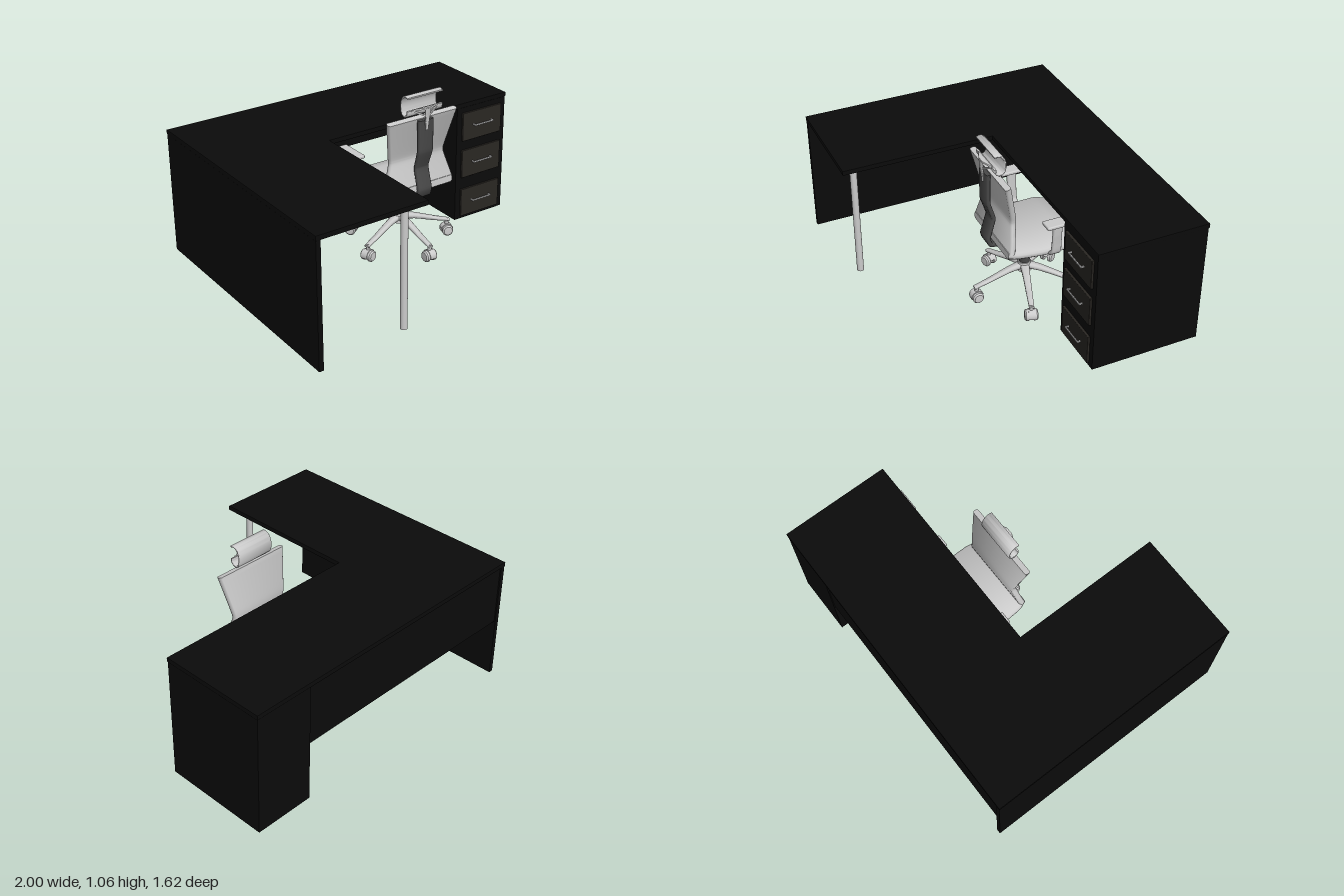
import * as THREE from 'three';
import { toCreasedNormals } from 'three/addons/utils/BufferGeometryUtils.js';
import { RoundedBoxGeometry } from 'three/addons/geometries/RoundedBoxGeometry.js';

const mat = (color) => new THREE.MeshStandardMaterial({ color });
const grey = mat(0xcccccc), black = mat(0x0b0b0b), drawerDark = mat(0x2a2723), darkGrey = mat(0x484848);

function add(parent, name, geometry, material, x = 0, y = 0, z = 0) {
  const mesh = new THREE.Mesh(geometry, material);
  mesh.name = name;
  mesh.position.set(x, y, z);
  parent.add(mesh);
  return mesh;
}

function group(parent, name, x = 0, y = 0, z = 0) {
  const g = new THREE.Group();
  g.name = name;
  g.position.set(x, y, z);
  parent.add(g);
  return g;
}

// Box from its min and max corners
function block(parent, name, material, [x0, y0, z0], [x1, y1, z1], r = 0) {
  const size = [x1 - x0, y1 - y0, z1 - z0];
  const geo = r ? new RoundedBoxGeometry(...size, 2, r) : new THREE.BoxGeometry(...size);
  return add(parent, name, geo, material, (x0 + x1) / 2, (y0 + y1) / 2, (z0 + z1) / 2);
}

// Chamfered slab swept along points [z, y, halfWidth], thickness t0 to t1
function slab(points, t0, t1 = t0, steps = 24, tension = 0.3) {
  const curve = new THREE.CatmullRomCurve3(points.map((p) => new THREE.Vector3(p[2], p[1], p[0])), false, 'catmullrom', tension);
  const pos = [], index = [], n = 8;
  for (let i = 0; i <= steps; i++) {
    const p = curve.getPoint(i / steps), d = curve.getTangent(i / steps);
    const len = Math.hypot(d.y, d.z), ny = d.z / len, nz = -d.y / len;
    const w = p.x, h = THREE.MathUtils.lerp(t0, t1, i / steps) / 2, c = Math.min(w, h) * 0.5;
    const ring = [[w, -h + c], [w, h - c], [w - c, h], [-w + c, h], [-w, h - c], [-w, -h + c], [-w + c, -h], [w - c, -h]];
    for (const [a, b] of ring) pos.push(a, p.y + b * ny, p.z + b * nz);
  }
  for (let i = 0; i < steps; i++) for (let j = 0; j < n; j++) {
    const a = i * n + j, b = i * n + (j + 1) % n;
    index.push(a, b, b + n, a, b + n, a + n);
  }
  for (let j = 1; j < n - 1; j++) {
    const e = steps * n;
    index.push(0, j + 1, j, e, e + j, e + j + 1);
  }
  const geo = new THREE.BufferGeometry();
  geo.setAttribute('position', new THREE.Float32BufferAttribute(pos, 3));
  geo.setIndex(index);
  return toCreasedNormals(geo, 0.9);
}

function buildDesk(root) {
  const desk = group(root, 'desk');

  // L-shaped top
  const outline = new THREE.Shape([[-1, -0.81], [1, -0.81], [1, -0.13], [-0.31, -0.13], [-0.31, 0.81], [-1, 0.81]]
    .map(([x, z]) => new THREE.Vector2(x, z)));
  const topGeo = new THREE.ExtrudeGeometry(outline, {
    depth: 0.022, bevelThickness: 0.004, bevelSize: 0.004, bevelOffset: -0.004, bevelSegments: 2,
  });
  add(desk, 'desktop', topGeo, black, 0, 0.786, 0).rotation.x = Math.PI / 2;

  // Supports
  block(desk, 'sidePanel', black, [-0.998, 0, -0.808], [-0.97, 0.76, 0.808]);
  block(desk, 'modestyPanel', black, [-0.97, 0.38, -0.8], [0.62, 0.76, -0.775]);
  block(desk, 'drawerCabinet', black, [0.62, 0, -0.806], [0.996, 0.76, -0.132]);
  add(desk, 'post', new THREE.CylinderGeometry(0.021, 0.021, 0.755, 24), grey, -0.4, 0.3805, 0.72);

  // Drawers with bar handles
  for (const y of [0.115, 0.383, 0.633]) {
    const drawer = group(desk, 'drawer', 0.808, y, -0.132);
    block(drawer, 'drawerFront', drawerDark, [-0.152, -0.094, 0], [0.152, 0.094, 0.015], 0.004);
    block(drawer, 'handleBar', grey, [-0.075, 0, 0.03], [0.075, 0.011, 0.038], 0.003);
    for (const s of [-1, 1]) block(drawer, 'handlePost', grey, [s * 0.07 - 0.004, 0.001, 0.013], [s * 0.07 + 0.004, 0.01, 0.034]);
  }
}

function buildCaster(parent, z) {
  const caster = group(parent, 'caster', 0, 0, z);
  for (const s of [-1, 1]) {
    const profile = [[0, -0.014], [0.029, -0.014], [0.035, -0.009], [0.035, 0.006], [0.027, 0.014], [0, 0.016]];
    const wheel = add(caster, 'wheel', toCreasedNormals(new THREE.LatheGeometry(
      profile.map(([r, h]) => new THREE.Vector2(r, h)), 20), 0.6), grey, s * 0.025, 0.035, 0);
    wheel.rotation.z = -s * Math.PI / 2;
  }
  // Hood over the wheels and its stem
  const hood = add(caster, 'hood', new THREE.CylinderGeometry(0.039, 0.039, 0.034, 16, 1, false, -0.3, Math.PI), grey, 0, 0.036, 0);
  hood.rotation.z = Math.PI / 2;
  hood.material = new THREE.MeshStandardMaterial({ color: 0xcccccc, side: THREE.DoubleSide });
  add(caster, 'stem', new THREE.CylinderGeometry(0.012, 0.012, 0.05, 12), grey, 0, 0.085, 0);
}

function buildChair(root) {
  const chair = group(root, 'chair', 0.17, 0, 0);

  // Five-star base with casters
  const base = group(chair, 'base', 0, 0, -0.115);
  const legGeo = slab([[0.01, 0.175, 0.027], [0.1, 0.16, 0.022], [0.22, 0.125, 0.018], [0.325, 0.098, 0.015]], 0.036, 0.017, 12);
  for (let k = 0; k < 5; k++) {
    const spoke = group(base, 'spoke');
    spoke.rotation.y = k * Math.PI * 2 / 5;
    add(spoke, 'baseLeg', legGeo, grey);
    buildCaster(spoke, 0.31);
  }
  add(base, 'hub', new THREE.CylinderGeometry(0.038, 0.045, 0.06, 24), grey, 0, 0.17, 0);
  add(base, 'columnSleeve', new THREE.CylinderGeometry(0.032, 0.032, 0.07, 24), darkGrey, 0, 0.225, 0);
  add(base, 'gasColumn', new THREE.CylinderGeometry(0.029, 0.029, 0.16, 24), grey, 0, 0.325, 0);
  block(base, 'tiltMechanism', grey, [-0.075, 0.378, -0.09], [0.075, 0.415, 0.08], 0.01);

  // Seat and backrest
  add(chair, 'seat', slab([[0.1, 0.446, 0.235], [0.04, 0.441, 0.255], [-0.12, 0.424, 0.26], [-0.29, 0.424, 0.26], [-0.365, 0.407, 0.245]], 0.042), grey);
  add(chair, 'backrest', slab([[0.078, 0.455, 0.245], [0.066, 0.52, 0.226], [0.051, 0.625, 0.194], [0.055, 0.68, 0.2], [0.107, 0.905, 0.245]], 0.036), grey);

  // Rear spine, bent under the seat
  add(chair, 'spine', slab([[0.138, 0.895, 0.053], [0.138, 0.7, 0.053], [0.103, 0.585, 0.048], [0.137, 0.455, 0.05],
    [0.118, 0.408, 0.052], [-0.01, 0.395, 0.05], [-0.14, 0.395, 0.05]], 0.026, 0.026, 36, 0.15), darkGrey);

  // Curled headrest and bracket
  const headrest = group(chair, 'headrest');
  add(headrest, 'headPad', slab([[0.134, 1.044, 0.125], [0.112, 1.05, 0.125], [0.085, 1.035, 0.125], [0.069, 0.995, 0.125],
    [0.075, 0.945, 0.125], [0.1, 0.927, 0.125], [0.126, 0.942, 0.125], [0.13, 0.968, 0.125]], 0.011, 0.011, 40, 0.5), grey);
  add(headrest, 'bracketStem', slab([[0.152, 0.835, 0.008], [0.156, 0.9, 0.014], [0.162, 0.972, 0.022]], 0.012, 0.01, 8), grey);
  add(headrest, 'bracketArm', slab([[0.165, 0.972, 0.025], [0.145, 0.97, 0.07], [0.128, 0.962, 0.1]], 0.01, 0.01, 8), grey);
  for (const s of [-1, 1]) {
    const strut = block(headrest, 'bracketStrut', grey, [-0.05, -0.005, -0.004], [0.05, 0.005, 0.004]);
    strut.position.set(s * 0.05, 0.945, 0.147);
    strut.rotation.set(0, s * 0.3, s * 0.45);
  }

  // Armrests
  const armGeo = slab([[0.17, 0.405, 0.035], [0.25, 0.412, 0.033], [0.288, 0.445, 0.03], [0.297, 0.54, 0.028], [0.303, 0.64, 0.028]], 0.024, 0.022);
  for (const s of [-1, 1]) {
    const arm = group(chair, s > 0 ? 'leftArmrest' : 'rightArmrest', 0, 0, -0.17);
    add(arm, 'armSupport', armGeo, grey).rotation.y = s * Math.PI / 2;
    block(arm, 'armPad', grey, [s * 0.302 - 0.04, 0.633, -0.12], [s * 0.302 + 0.04, 0.655, 0.08], 0.008);
  }
}

export function createModel() {
  const root = new THREE.Group();
  root.name = 'cornerDeskWithChair';
  buildDesk(root);
  buildChair(root);
  return root;
}
